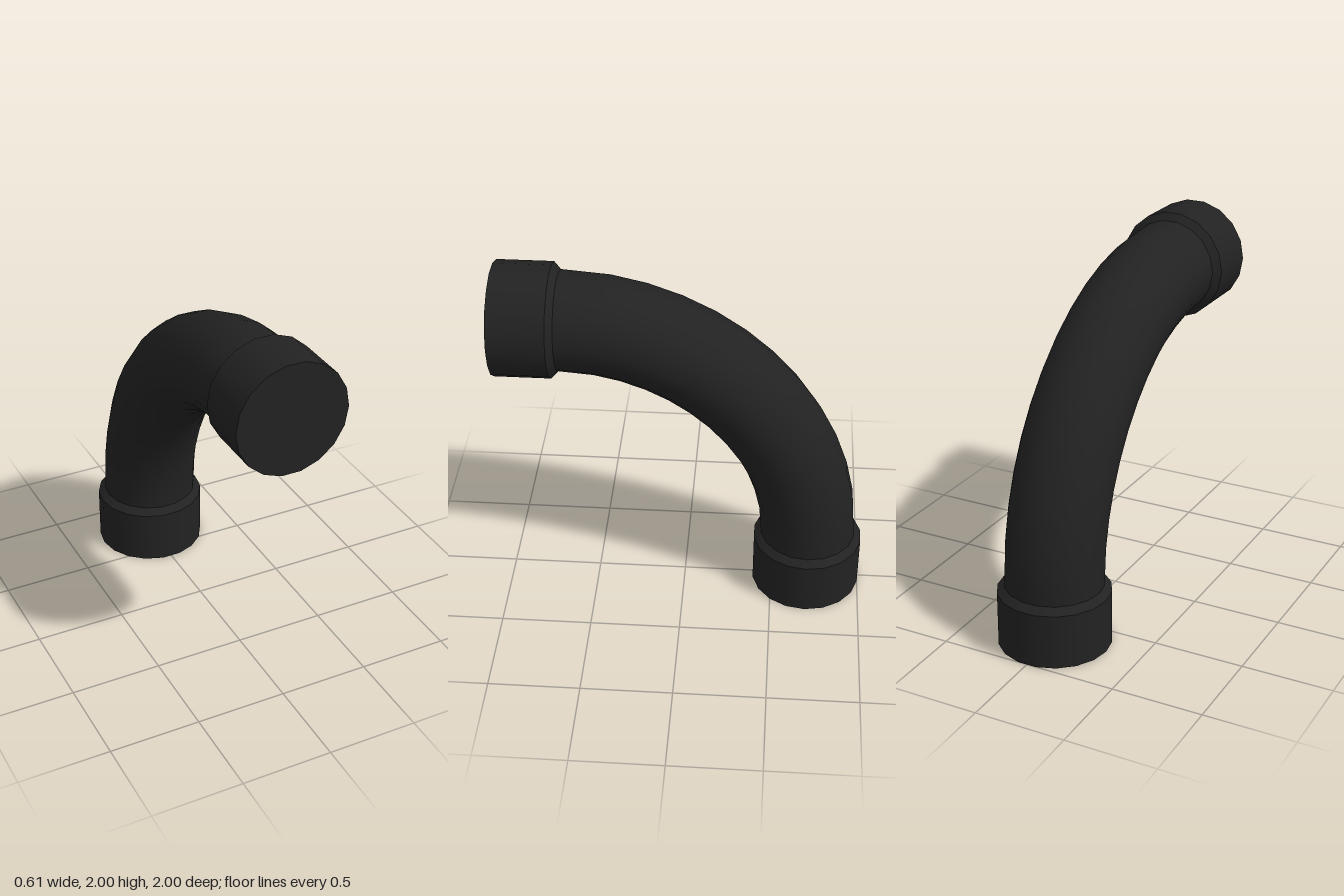
import * as THREE from 'three';
import { mergeGeometries } from 'three/addons/utils/BufferGeometryUtils.js';

const SIDES = 18;
const PIPE_R = 0.267, COLLAR_R = 0.307;
const BODY_H = 0.305, COLLAR_H = 0.34;
const AXIS = 1.698;                 // height of the upper opening's axis
const BEND_Y = COLLAR_H, BEND_Z = 0.66; // centre of the bend
const BEND_R = AXIS - BEND_Y;

// Quarter bend: an upright cylinder whose rings are swung around the bend centre
function bendGeometry() {
  const rings = 12, first = 9.5, step = (90 - 2 * first) / (rings - 2);
  const geo = new THREE.CylinderGeometry(PIPE_R, PIPE_R, rings, SIDES, rings, true);
  geo.rotateY(Math.PI / 2).translate(0, rings / 2, 0);
  const pos = geo.attributes.position, nor = geo.attributes.normal;
  for (let i = 0; i < pos.count; i++) {
    const ring = Math.round(pos.getY(i));
    const deg = ring === 0 ? 0 : ring === rings ? 90 : first + (ring - 1) * step;
    const a = THREE.MathUtils.degToRad(deg), c = Math.cos(a), s = Math.sin(a);
    const r = BEND_R - pos.getZ(i), nz = nor.getZ(i);
    pos.setXYZ(i, pos.getX(i), BEND_Y + r * s, BEND_Z - r * c);
    nor.setXYZ(i, nor.getX(i), -nz * s, nz * c);
  }
  return geo;
}

// Capped collar with a chamfer down to the pipe
function collarGeometry() {
  const chamferH = COLLAR_H - BODY_H;
  const body = new THREE.CylinderGeometry(COLLAR_R, COLLAR_R, BODY_H, SIDES);
  body.translate(0, BODY_H / 2, 0);
  const chamfer = new THREE.CylinderGeometry(PIPE_R, COLLAR_R, chamferH, SIDES, 1, true);
  chamfer.translate(0, BODY_H + chamferH / 2, 0);
  return mergeGeometries([body, chamfer]).rotateY(Math.PI / 2);
}

export function createModel() {
  const model = new THREE.Group();
  model.name = 'pipeElbow';
  const material = new THREE.MeshStandardMaterial({ color: 0x222222 });

  const add = (name, geometry) => {
    const mesh = new THREE.Mesh(geometry, material);
    mesh.name = name;
    model.add(mesh);
    return mesh;
  };

  add('bentPipe', bendGeometry());

  const collar = collarGeometry();
  add('lowerCollar', collar).position.set(0, 0, BEND_Z - BEND_R);
  const upper = add('upperCollar', collar);
  upper.rotation.x = -Math.PI / 2;
  upper.position.set(0, AXIS, 1);

  return model;
}
